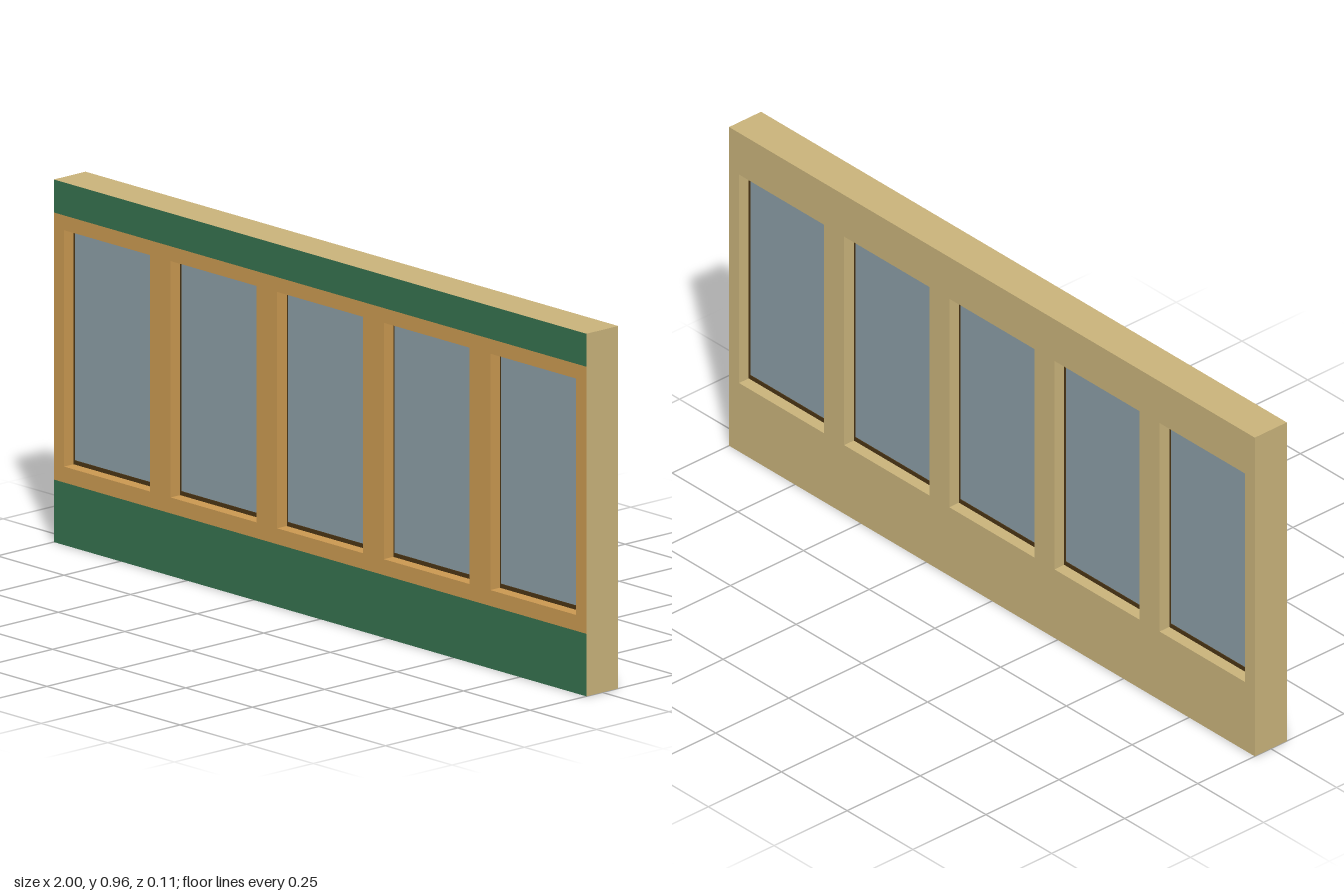
import * as THREE from 'three';

const mat = (name, color) => {
  const m = new THREE.MeshStandardMaterial({ color });
  m.name = name;
  return m;
};

// Rectangle outline as a path or shape
const rect = (Type, x0, y0, x1, y1) => new Type([
  new THREE.Vector2(x0, y0), new THREE.Vector2(x1, y0),
  new THREE.Vector2(x1, y1), new THREE.Vector2(x0, y1),
]);

export function createModel() {
  const group = new THREE.Group();
  const beige = mat('beige wall', 0xc8b27a);
  const green = mat('green paint', 0x35704e);
  const wood = mat('orange wood', 0xc99850);
  const rubber = mat('dark brown seal', 0x4a3414);
  const glass = mat('grey blue glass', 0x8a9ca4);

  const H = 0.957, D = 0.055, skin = 0.0005;
  const bandLow = 0.165, bandHigh = 0.87;
  const centres = [-0.8, -0.4, 0, 0.4, 0.8];
  const hw = 0.162, y0 = 0.206, y1 = 0.832;

  const add = (name, geometry, material, z = 0) => {
    const mesh = new THREE.Mesh(geometry, material);
    mesh.name = name;
    mesh.position.z = z;
    group.add(mesh);
    return mesh;
  };
  const extrude = (shape, depth) => new THREE.ExtrudeGeometry(shape, { depth, bevelEnabled: false });
  const openings = () => centres.map((c) => rect(THREE.Path, c - hw, y0, c + hw, y1));

  // Wall slab with five window openings
  const wall = rect(THREE.Shape, -1, 0, 1, H);
  wall.holes = openings();
  add('wall', extrude(wall, 2 * D - skin), beige, -D);

  // Painted front: green bands above and below the wooden window band
  const band = rect(THREE.Shape, -1, bandLow, 1, bandHigh);
  band.holes = openings();
  add('windowBand', new THREE.ShapeGeometry(band), wood, D);
  add('lowerBand', new THREE.ShapeGeometry(rect(THREE.Shape, -1, 0, 1, bandLow)), green, D);
  add('upperBand', new THREE.ShapeGeometry(rect(THREE.Shape, -1, bandHigh, 1, H)), green, D);

  // Ring between an opening and a smaller rectangle inside it
  const ring = (c, bx, by, depth) => {
    const shape = rect(THREE.Shape, c - hw, y0, c + hw, y1);
    shape.holes.push(rect(THREE.Path, c - hw + bx, y0 + by, c + hw - bx, y1 - by));
    return extrude(shape, depth);
  };

  // Windows: wooden front lining, dark seal and glass pane
  centres.forEach((c, i) => {
    add(`windowLining${i + 1}`, ring(c, 0.001, 0.001, D - 0.02), wood, 0.02);
    add(`windowSeal${i + 1}`, ring(c, 0.004, 0.012, 0.044), rubber, -0.022);
    const pane = add(`windowPane${i + 1}`, new THREE.BoxGeometry(2 * hw - 0.006, y1 - y0 - 0.02, 0.04), glass);
    pane.position.set(c, (y0 + y1) / 2, 0);
  });

  return group;
}
